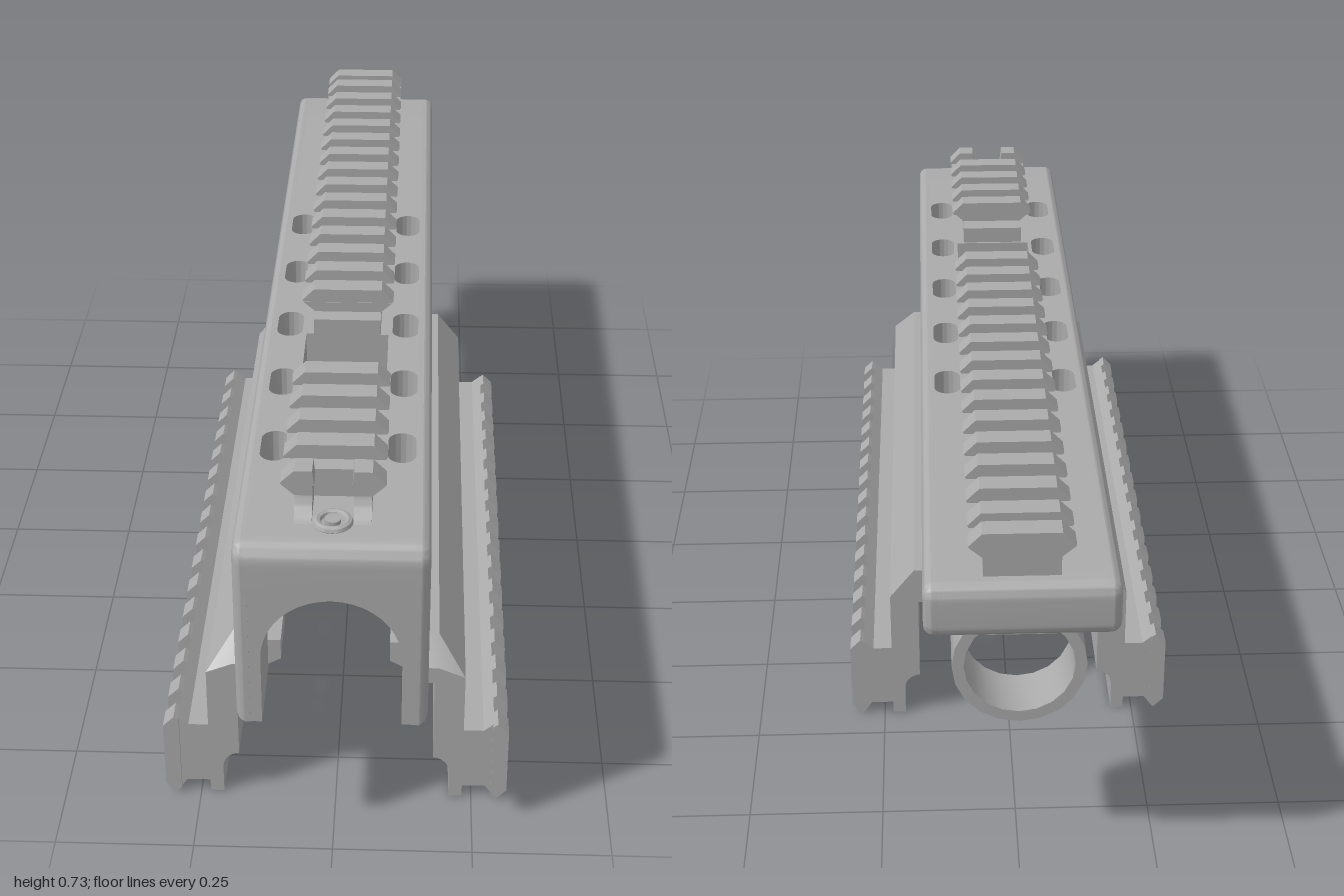
import * as THREE from 'three';
import { toCreasedNormals } from 'three/addons/utils/BufferGeometryUtils.js';

// Shapes seen from the side or the top use u = -z as their first coordinate.
const poly = (pts) => new THREE.Shape(pts.map(([a, b]) => new THREE.Vector2(a, b)));
const rect = (a0, b0, a1, b1) => poly([[a0, b0], [a1, b0], [a1, b1], [a0, b1]]);
const circle = (a, b, r) => new THREE.Shape().absarc(a, b, r, 0, Math.PI * 2, false);

// Rounded slot centred on (a, b), w wide and h high
function slot(a, b, w, h) {
  const s = new THREE.Shape(), r = Math.min(w, h) / 2, P = Math.PI;
  const dx = w / 2 - r, dy = h / 2 - r;
  s.absarc(a + dx, b + dy, r, 0, P / 2, false);
  s.absarc(a - dx, b + dy, r, P / 2, P, false);
  s.absarc(a - dx, b - dy, r, P, P * 1.5, false);
  s.absarc(a + dx, b - dy, r, P * 1.5, P * 2, false);
  s.closePath();
  return s;
}
function cut(shape, holes) {
  shape.holes.push(...holes);
  return shape;
}

const extrude = (s, depth) => new THREE.ExtrudeGeometry(s, { depth, bevelEnabled: false, curveSegments: 10 });
const alongX = (s, x0, x1) => extrude(s, x1 - x0).rotateY(Math.PI / 2).translate(x0, 0, 0);
const alongY = (s, y0, y1) => extrude(s, y1 - y0).rotateX(-Math.PI / 2).translate(0, y0, 0);
const alongZ = (s, z0, z1) => extrude(s, z1 - z0).translate(0, 0, z0);

// Mirror across x = 0, keeping faces outward
function mirrorX(geo) {
  const g = geo.clone().scale(-1, 1, 1), p = g.attributes.position;
  const a = new THREE.Vector3(), c = new THREE.Vector3();
  for (let i = 0; i < p.count; i += 3) {
    a.fromBufferAttribute(p, i);
    c.fromBufferAttribute(p, i + 2);
    p.setXYZ(i, c.x, c.y, c.z);
    p.setXYZ(i + 2, a.x, a.y, a.z);
  }
  return g;
}

export function createModel() {
  const model = new THREE.Group();
  const metal = new THREE.MeshStandardMaterial({ color: 0xaaaaaa });
  metal.name = 'grey metal';

  const add = (name, geo) => {
    const flat = geo.index ? geo.toNonIndexed() : geo;
    const m = new THREE.Mesh(toCreasedNormals(flat, 0.6), metal);
    m.name = name;
    model.add(m);
  };
  const pair = (name, geo) => {
    add(name + 'Left', geo);
    add(name + 'Right', mirrorX(geo));
  };

  // Housing side outline with the raised tail
  const outline = () => {
    const s = new THREE.Shape();
    s.moveTo(-1, 0.288);
    s.lineTo(-1, 0.61);
    s.quadraticCurveTo(-1, 0.65, -0.96, 0.65);
    s.lineTo(0.97, 0.65);
    s.quadraticCurveTo(1, 0.65, 1, 0.62);
    s.lineTo(1, 0.575);
    s.quadraticCurveTo(1, 0.55, 0.975, 0.55);
    s.lineTo(0.52, 0.55);
    s.quadraticCurveTo(0.43, 0.55, 0.43, 0.46);
    s.lineTo(0.43, 0.288);
    s.closePath();
    return s;
  };

  // Side walls: thin core plus rounded skin with flutes
  const pinHole = () => circle(0.89, 0.6, 0.013);
  pair('sideWall', alongX(cut(outline(), [pinHole()]), 0.14, 0.15));
  const flutes = [pinHole()];
  for (let k = 0; k < 12; k++) flutes.push(slot(-(0.865 - 0.1058 * k), 0.483, 0.05, 0.23));
  const skin = new THREE.ExtrudeGeometry(cut(outline(), flutes), {
    depth: 0.002, bevelThickness: 0.018, bevelSize: 0.018, bevelOffset: -0.018, bevelSegments: 4, curveSegments: 8,
  });
  const sp = skin.attributes.position;
  for (let i = 0; i < sp.count; i++) sp.setZ(i, Math.max(sp.getZ(i), 0));
  pair('flutedSkin', skin.rotateY(Math.PI / 2).translate(0.145, 0, 0));

  // Roof with window, vent slots and screw holes, then solid end blocks
  const screwZ = [-0.58, -0.25, 0.083, 0.745];
  const ventZ = [-0.24, -0.01, 0.22, 0.45, 0.68];
  const roofHoles = [rect(-0.08, -0.475, 0.08, -0.26), ...screwZ.map((z) => circle(0, -z, 0.026))];
  for (const z of ventZ) for (const s of [-1, 1]) roofHoles.push(slot(s * 0.113, -z, 0.05, 0.1));
  add('roof', alongY(cut(rect(-0.148, -0.85, 0.148, 0.84), roofHoles), 0.55, 0.65));
  const noseBlock = new THREE.Shape();
  noseBlock.moveTo(-0.85, 0.55);
  noseBlock.lineTo(-0.85, 0.65);
  noseBlock.lineTo(-0.96, 0.65);
  noseBlock.quadraticCurveTo(-1, 0.65, -1, 0.61);
  noseBlock.lineTo(-1, 0.55);
  add('noseBlock', alongX(noseBlock, -0.148, 0.148));
  const tail = new THREE.Shape();
  tail.moveTo(0.84, 0.55);
  tail.lineTo(0.975, 0.55);
  tail.quadraticCurveTo(1, 0.55, 1, 0.575);
  tail.lineTo(1, 0.62);
  tail.quadraticCurveTo(1, 0.65, 0.97, 0.65);
  tail.lineTo(0.84, 0.65);
  add('tailBlock', alongX(cut(tail, [pinHole()]), -0.148, 0.148));

  // Arched end plates
  const arch = poly([[-0.12, 0.288], [-0.15, 0.288], [-0.15, 0.56], [0.15, 0.56], [0.15, 0.288], [0.12, 0.288]]);
  arch.absarc(0, 0.425, 0.12, 0, Math.PI, false);
  add('frontArch', alongZ(arch, 0.85, 0.999));
  add('rearArch', alongZ(arch, -0.429, -0.36));
  const web = poly([[0.42, 0.55], [0.52, 0.55]]);
  web.quadraticCurveTo(0.43, 0.55, 0.43, 0.46);
  web.lineTo(0.42, 0.46);
  pair('rearFillet', alongX(web, 0.1, 0.145));

  // Rear clamp ring, bracket and screw tip
  add('clampRing', alongZ(cut(circle(0, 0.422, 0.118), [circle(0, 0.422, 0.097)]), -0.89, -0.78));
  add('clampBracket', new THREE.BoxGeometry(0.12, 0.036, 0.18).translate(0, 0.537, -0.85));
  add('clampScrew', new THREE.CylinderGeometry(0.014, 0.014, 0.03, 16).translate(0, 0.517, -0.835));

  // Skirt shoulders, with a tapered front end
  const shoulder = poly([[0.14, 0.285], [0.165, 0.262], [0.233, 0.262], [0.233, 0.275], [0.185, 0.335], [0.14, 0.335]]);
  pair('skirtShoulder', alongZ(shoulder, -0.43, 0.8));
  const toe = alongZ(shoulder, 0.8, 0.85), tp = toe.attributes.position;
  for (let i = 0; i < tp.count; i++) if (tp.getZ(i) > 0.84) tp.setY(i, Math.min(tp.getY(i), 0.295));
  pair('skirtToe', toe);

  // Inner lip, notched under the vent slots
  const lip = poly([[0.145, 0.35], [0.097, 0.35], [0.097, 0.31], [0.145, 0.283]]);
  const lipEnds = [-0.43, ...ventZ.flatMap((z) => [z - 0.055, z + 0.055]), 0.85];
  for (let i = 0; i < lipEnds.length; i += 2) pair('innerLip' + i / 2, alongZ(lip, lipEnds[i], lipEnds[i + 1]));

  // Skirt plates with long slots and bolt holes
  const boltZ = [0.545, 0.215, -0.115];
  const bolts = () => boltZ.map((z) => circle(-z, 0.09, 0.03));
  const windows = () => [[0.65, 0.18], [0.42, 0.14], [0.21, 0.14], [0, 0.14], [-0.23, 0.18]]
    .map(([z, w]) => slot(-z, 0.223, w, 0.078));
  pair('skirtOuterPlate', alongX(cut(rect(-0.85, 0, 0.43, 0.275), [...windows(), ...bolts()]), 0.208, 0.233));
  const inner = new THREE.Shape();
  inner.moveTo(-0.85, 0.275);
  inner.lineTo(-0.85, 0.09);
  for (const z of boltZ) inner.absarc(-z, 0.09, 0.03, Math.PI, 0, true);
  inner.lineTo(0.43, 0.09);
  inner.lineTo(0.43, 0.275);
  inner.closePath();
  pair('skirtInnerPlate', alongX(cut(inner, windows()), 0.178, 0.209));
  const fillet = poly([[0.209, 0.091], [0.178, 0.091]]);
  fillet.quadraticCurveTo(0.208, 0.085, 0.208, 0.055);
  const gaps = [-0.43, -0.145, -0.085, 0.185, 0.245, 0.515, 0.575, 0.85];
  for (let i = 0; i < gaps.length; i += 2) pair('skirtFillet' + i / 2, alongZ(fillet, gaps[i], gaps[i + 1]));

  // Side rails
  pair('sideRailBase', alongX(cut(rect(-0.85, 0.025, 0.43, 0.155), bolts()), 0.232, 0.288));
  pair('sideRailUpperEdge', alongZ(poly([[0.268, 0.154], [0.288, 0.154], [0.288, 0.171]]), -0.43, 0.85));
  pair('sideRailLowerEdge', alongZ(poly([[0.275, 0.026], [0.288, 0.007], [0.288, 0.026]]), -0.43, 0.85));
  const sideTooth = poly([[0.286, 0.168], [0.286, 0.01], [0.295, 0], [0.315, 0.02], [0.315, 0.155], [0.295, 0.175]]);
  for (let k = 0; k < 16; k++) {
    const z = -0.41 + 0.083 * k;
    pair('sideRailTooth' + k, alongZ(sideTooth, z - 0.021, z + 0.021));
  }

  // Top rails: drilled stem, flared edges and teeth
  const screws = (z0, z1) => screwZ.filter((z) => z > z0 && z < z1).map((z) => circle(0, -z, 0.026));
  const flare = poly([[0.064, 0.684], [0.087, 0.704], [0.064, 0.704]]);
  const topTooth = poly([[-0.086, 0.703], [0.086, 0.703], [0.089, 0.708], [0.066, 0.731], [-0.066, 0.731], [-0.089, 0.708]]);
  const tooth = (name, z) => add(name, alongZ(topTooth, z - 0.021, z + 0.021));
  const rail = (name, z0, z1, s0, s1) => {
    add(name + 'Stem', alongY(cut(rect(-0.065, -s1, 0.065, -s0), screws(s0, s1)), 0.645, 0.684));
    add(name + 'Deck', alongY(cut(rect(-0.065, -z1, 0.065, -z0), screws(z0, z1)), 0.684, 0.704));
    pair(name + 'Flare', alongZ(flare, z0, z1));
  };
  rail('rearTopRail', -0.965, 0.23, -0.965, 0.265);
  for (let k = 0; k < 14; k++) tooth('rearTopTooth' + k, 0.208 - 0.0835 * k);
  tooth('rearTopToothEnd', -0.945);
  rail('frontTopRail', 0.525, 0.84, 0.48, 0.84);
  for (let k = 0; k < 4; k++) tooth('frontTopTooth' + k, 0.787 - 0.0835 * k);

  // Split front end of the rail around the screw seat
  const half = poly([[0.035, 0.645], [0.065, 0.645], [0.065, 0.684], [0.087, 0.704], [0.035, 0.704]]);
  pair('frontRailCheek', alongZ(half, 0.838, 0.892));
  const halfTooth = poly([[0.032, 0.703], [0.086, 0.703], [0.089, 0.708], [0.066, 0.731], [0.035, 0.731]]);
  pair('frontCheekTooth', alongZ(halfTooth, 0.85, 0.892));
  const ramp = poly([[-0.89, 0.645], [-0.89, 0.69]]);
  ramp.quadraticCurveTo(-0.9, 0.655, -0.935, 0.648);
  pair('frontRailRamp', alongX(ramp, 0.035, 0.065));
  const seat = new THREE.TorusGeometry(0.027, 0.008, 8, 24).rotateX(Math.PI / 2);
  add('screwSeat', seat.translate(0, 0.651, 0.92));
  add('screwHead', new THREE.CylinderGeometry(0.014, 0.014, 0.012, 16).translate(0, 0.652, 0.92));

  return model;
}
